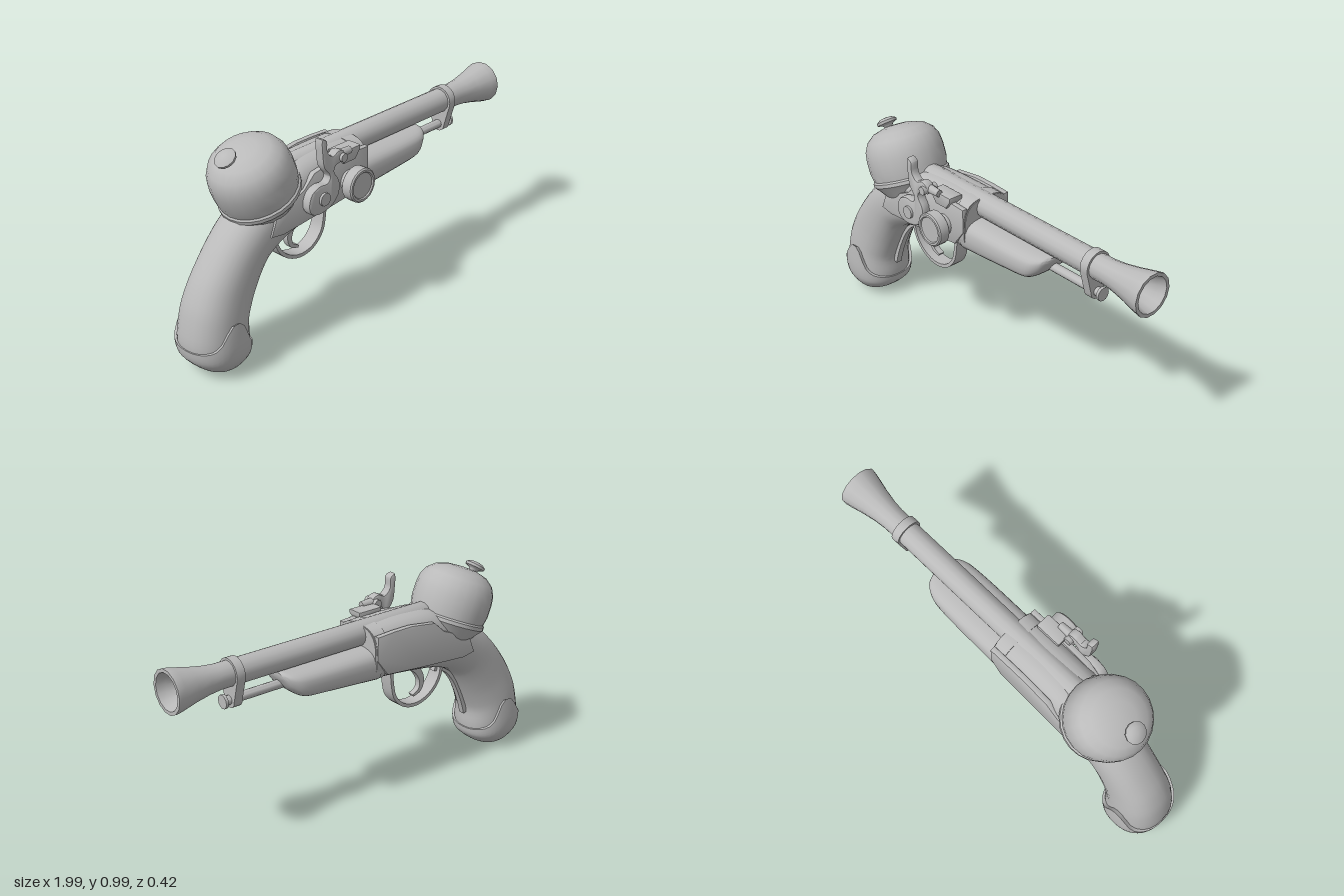
import * as THREE from 'three';
import { toCreasedNormals } from 'three/addons/utils/BufferGeometryUtils.js';

const ZC = -0.018; // centre plane of the pistol

export function createModel() {
  const model = new THREE.Group();
  const grey = new THREE.MeshStandardMaterial({ color: 0xbababa });
  const add = (name, geo) => {
    const m = new THREE.Mesh(geo, grey);
    m.name = name;
    model.add(m);
    return m;
  };

  // closed tube surface from fn(t, angle), with a disc at each end
  const skin = (fn, nu, nv) => {
    const pos = [], idx = [];
    for (let i = 0; i <= nu; i++)
      for (let j = 0; j < nv; j++) pos.push(...fn(i / nu, (j / nv) * Math.PI * 2));
    for (let i = 0; i < nu; i++)
      for (let j = 0; j < nv; j++) {
        const k = (j + 1) % nv;
        const a = i * nv + j, b = a + nv, c = i * nv + k, d = c + nv;
        idx.push(a, b, c, c, b, d);
      }
    for (const end of [0, 1]) {
      const base = end * nu * nv, centre = pos.length / 3, p = [0, 0, 0];
      for (let j = 0; j < nv; j++) for (let k = 0; k < 3; k++) p[k] += pos[(base + j) * 3 + k] / nv;
      pos.push(...p);
      for (let j = 0; j < nv; j++) {
        const a = base + j, b = base + ((j + 1) % nv);
        idx.push(centre, end ? b : a, end ? a : b);
      }
    }
    const g = new THREE.BufferGeometry();
    g.setAttribute('position', new THREE.Float32BufferAttribute(pos, 3));
    g.setIndex(idx);
    return toCreasedNormals(g, 0.8);
  };

  // rows: upper x, y, lower x, y, half width, squareness; returns point (u, angle)
  const section = (rows) => {
    const curve = (f) => new THREE.CatmullRomCurve3(rows.map((r) => new THREE.Vector3(...f(r))), false, 'catmullrom', 0.4);
    const top = curve((r) => [r[0], r[1], 0]), low = curve((r) => [r[2], r[3], 0]), size = curve((r) => [r[4], r[5], 0]);
    return (u, a, sxy = 1, sz = 1) => {
      const t = top.getPoint(u), b = low.getPoint(u), s = size.getPoint(u);
      const pw = (v) => Math.sign(v) * Math.pow(Math.abs(v), 2 / s.y);
      const c = pw(Math.cos(a)) * sxy;
      return [(t.x + b.x) / 2 + ((t.x - b.x) / 2) * c, (t.y + b.y) / 2 + ((t.y - b.y) / 2) * c, ZC + s.x * sz * pw(Math.sin(a))];
    };
  };

  const extrude = (pts, z0, z1, bevel = 0, smooth = false) => {
    const v = pts.map((p) => new THREE.Vector2(...p));
    const outline = smooth
      ? new THREE.CatmullRomCurve3(pts.map((p) => new THREE.Vector3(p[0], p[1], 0)), true, 'centripetal')
          .getPoints(pts.length * 3).slice(0, -1).map((p) => new THREE.Vector2(p.x, p.y))
      : v;
    const g = new THREE.ExtrudeGeometry(new THREE.Shape(outline), {
      depth: z1 - z0 - 2 * bevel, bevelEnabled: bevel > 0, bevelSize: bevel, bevelOffset: -bevel,
      bevelThickness: bevel, bevelSegments: 2,
    });
    g.translate(0, 0, z0 + bevel);
    return toCreasedNormals(g, 0.7);
  };

  // bent strip following a path, tapering to the given end thickness
  const strip = (pts, t0, t1, half) => {
    const c = new THREE.CatmullRomCurve3(pts.map((p) => new THREE.Vector3(p[0], p[1], 0)));
    const a = [], b = [], n = 26;
    for (let i = 0; i <= n; i++) {
      const p = c.getPoint(i / n), d = c.getTangent(i / n), w = (t0 + (t1 - t0) * (i / n)) / 2;
      a.push([p.x - d.y * w, p.y + d.x * w]);
      b.unshift([p.x + d.y * w, p.y - d.x * w]);
    }
    return extrude(a.concat(b), ZC - half, ZC + half);
  };

  const lathe = (pts, seg) => toCreasedNormals(new THREE.LatheGeometry(pts.map((p) => new THREE.Vector2(...p)), seg), 0.7);

  // wooden fore-end under the barrel
  const fore = section([
    [0.463, 0.74, 0.46, 0.71, 0.05, 2.5], [0.45, 0.745, 0.43, 0.66, 0.09, 2.8], [0.4, 0.745, 0.37, 0.615, 0.118, 3],
    [0.25, 0.745, 0.25, 0.603, 0.126, 3], [-0.03, 0.745, -0.03, 0.58, 0.128, 3],
  ]);
  add('foreEnd', skin((t, a) => fore(t, a), 20, 28));

  // receiver flowing into the curved grip
  const body = section([
    [0.005, 0.84, 0.005, 0.583, 0.126, 2.9], [-0.2, 0.845, -0.18, 0.565, 0.126, 2.9], [-0.4, 0.83, -0.36, 0.54, 0.13, 2.8],
    [-0.6, 0.735, -0.48, 0.505, 0.13, 2.5], [-0.72, 0.655, -0.56, 0.455, 0.128, 2.3], [-0.81, 0.565, -0.605, 0.39, 0.127, 2.3],
    [-0.9, 0.445, -0.645, 0.31, 0.13, 2.3], [-0.955, 0.33, -0.68, 0.22, 0.138, 2.3], [-0.985, 0.19, -0.68, 0.14, 0.143, 2.3],
    [-0.975, 0.105, -0.69, 0.08, 0.135, 2.3], [-0.92, 0.042, -0.74, 0.032, 0.1, 2.2], [-0.86, 0.01, -0.79, 0.008, 0.045, 2],
  ]);
  add('stockAndGrip', skin((t, a) => body(t, a), 44, 28));

  // butt cap with a pointed flange on each side
  const capStart = (a) => {
    const s = Math.abs(Math.sin(a));
    return 0.76 - 0.1 * Math.pow(s, 10) - 0.03 * Math.pow(s, 2);
  };
  add('buttCap', skin((t, a) => {
    const u0 = capStart(a);
    return body(u0 + (1 - u0) * t, a, 1.025, 1.14);
  }, 14, 40));

  // barrel with flared, hollow muzzle
  add('barrel', lathe([
    [0, -0.42], [0.05, -0.42], [0.058, -0.4], [0.058, 0.3], [0.058, 0.76], [0.064, 0.82], [0.077, 0.89],
    [0.094, 0.96], [0.1, 0.99], [0.1, 1], [0.084, 1], [0.072, 0.96], [0.04, 0.87], [0, 0.8],
  ], 14).rotateZ(-Math.PI / 2).translate(0, 0.796, ZC));

  // barrel band: large loop round the barrel, small one round the ramrod
  const bandPts = [];
  for (let i = 0; i <= 12; i++) {
    const a = -0.25 + (i / 12) * (Math.PI + 0.5);
    bandPts.push([0.068 * Math.cos(a), 0.796 + 0.068 * Math.sin(a)]);
  }
  for (let i = 0; i <= 8; i++) {
    const a = Math.PI + (i / 8) * Math.PI;
    bandPts.push([0.036 * Math.cos(a), 0.674 + 0.036 * Math.sin(a)]);
  }
  add('barrelBand', extrude(bandPts, 0, 0.042).rotateY(Math.PI / 2).translate(0.66, 0, ZC));

  // ramrod with its collared tip
  add('ramrod', lathe([
    [0, 0.4], [0.021, 0.4], [0.021, 0.7], [0.021, 0.725], [0.032, 0.725], [0.032, 0.738], [0, 0.738],
  ], 12).rotateZ(-Math.PI / 2).translate(0, 0.674, ZC));

  // tilted domed housing on the back, and its plunger knob
  const dome = add('domeHousing', lathe([
    [0, -0.09], [0.12, -0.09], [0.165, -0.03], [0.187, -0.005], [0.187, 0.012], [0.18, 0.02], [0.188, 0.06], [0.188, 0.12],
    [0.182, 0.165], [0.162, 0.205], [0.125, 0.235], [0.07, 0.252], [0, 0.257],
  ], 24));
  dome.position.set(-0.535, 0.735, ZC);
  dome.rotation.z = 0.4;
  const knob = add('plungerKnob', lathe([
    [0, -0.08], [0.02, -0.08], [0.018, 0.0], [0.026, 0.012], [0.048, 0.02], [0.05, 0.032], [0.03, 0.044], [0, 0.048],
  ], 12));
  knob.position.set(-0.702, 0.933, ZC);
  knob.rotation.z = 0.6;

  // lock plate on each side
  const platePts = [
    [-0.6, 0.59], [-0.53, 0.578], [-0.26, 0.6], [-0.06, 0.62], [0, 0.7], [0, 0.815], [-0.1, 0.82],
    [-0.2, 0.82], [-0.34, 0.8], [-0.4, 0.745], [-0.565, 0.675],
  ];
  for (const s of [1, -1]) add(s > 0 ? 'lockPlateFront' : 'lockPlateBack', extrude(platePts, ZC + s * 0.123 - 0.014, ZC + s * 0.123 + 0.014, 0.005));

  // breech strap over the join with the barrel
  add('breechStrap', skin((t, a) => body(0.002 + 0.03 * t, a, 1.02, 1.06), 3, 28));

  // round drum beside the lock
  add('lockDrum', lathe([
    [0, 0.1], [0.05, 0.1], [0.05, 0.148], [0.074, 0.15], [0.08, 0.156], [0.08, 0.203], [0.074, 0.209],
    [0.064, 0.209], [0.06, 0.203], [0, 0.203],
  ], 20).rotateX(Math.PI / 2).translate(-0.13, 0.695, 0));

  // flash pan
  add('flashPan', extrude([[-0.2, 0.83], [-0.17, 0.79], [-0.1, 0.79], [-0.07, 0.83], [-0.07, 0.85], [-0.2, 0.85]], 0.06, 0.135, 0.006));

  // hammer: rounded lobe, neck, beak and thumb spur
  add('hammer', extrude([
    [-0.42, 0.68], [-0.4, 0.735], [-0.35, 0.757], [-0.305, 0.755], [-0.29, 0.78], [-0.325, 0.83], [-0.335, 0.89],
    [-0.335, 0.965], [-0.305, 0.95], [-0.302, 0.9], [-0.27, 0.87], [-0.235, 0.885], [-0.2, 0.87], [-0.2, 0.83],
    [-0.25, 0.82], [-0.262, 0.795], [-0.232, 0.745], [-0.235, 0.68], [-0.285, 0.635], [-0.36, 0.622], [-0.405, 0.64],
  ], 0.118, 0.164, 0.01, true));
  add('hammerPivot', new THREE.CylinderGeometry(0.03, 0.034, 0.08, 14).rotateX(Math.PI / 2).translate(-0.33, 0.69, 0.135));
  add('hammerJaw', new THREE.CylinderGeometry(0.02, 0.02, 0.08, 10).rotateX(Math.PI / 2).translate(-0.215, 0.848, 0.138));
  add('hammerFlint', new THREE.CylinderGeometry(0.017, 0.022, 0.07, 10).rotateZ(-Math.PI / 2).translate(-0.175, 0.85, 0.135));

  // trigger guard, trigger and grip strap
  add('triggerGuard', strip([
    [-0.17, 0.58], [-0.177, 0.5], [-0.195, 0.43], [-0.25, 0.375], [-0.33, 0.358], [-0.41, 0.385], [-0.46, 0.435],
    [-0.483, 0.5], [-0.47, 0.54],
  ], 0.017, 0.017, 0.035));
  add('trigger', strip([[-0.29, 0.57], [-0.35, 0.52], [-0.378, 0.46], [-0.365, 0.415], [-0.325, 0.395]], 0.045, 0.012, 0.015));
  add('gripStrap', strip([
    [-0.46, 0.5], [-0.53, 0.478], [-0.585, 0.42], [-0.63, 0.335], [-0.662, 0.25], [-0.675, 0.2],
  ], 0.03, 0.022, 0.015));

  return model;
}
